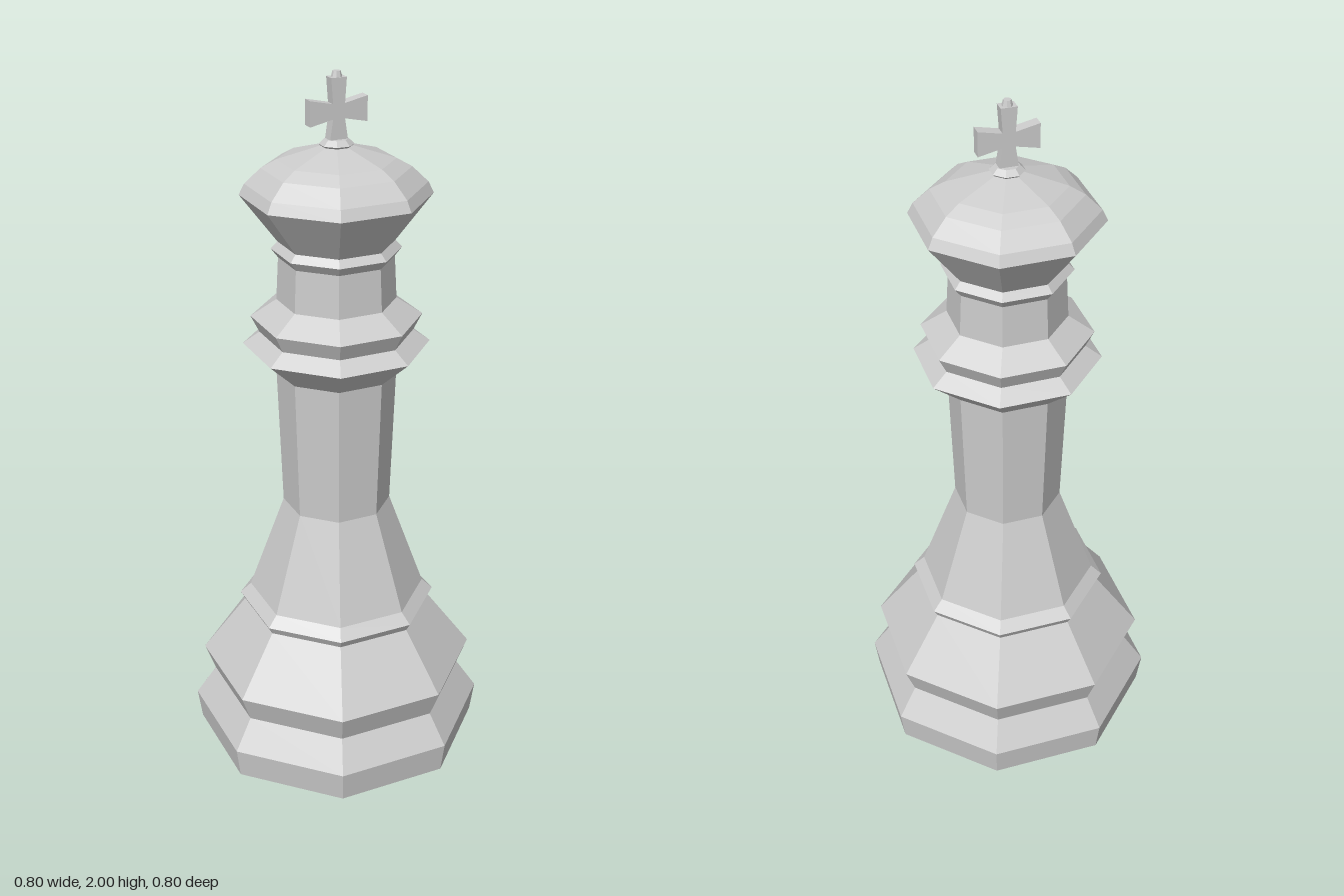
import * as THREE from 'three';

const TURN = THREE.MathUtils.degToRad(0.75); // slight twist of the whole piece
const FLAT = Math.cos(Math.PI / 8 - TURN); // half-width to corner radius of an octagon

const material = new THREE.MeshStandardMaterial({ color: 0xcccccc, flatShading: true, side: THREE.DoubleSide });

// Eight-sided turned part from [half-width, height] pairs, bottom to top
function turned(name, profile) {
  const points = profile.map(([w, y]) => new THREE.Vector2(w / FLAT, y));
  const mesh = new THREE.Mesh(new THREE.LatheGeometry(points, 8, Math.PI / 8 + TURN), material);
  mesh.name = name;
  return mesh;
}

// Cross with arms that flare towards their ends
function cross() {
  const y = 1.898;
  const outline = [
    [0.027, 1.815], [0.017, y - 0.02], [0.082, y - 0.034], [0.082, y + 0.034],
    [0.017, y + 0.02], [0.022, 1.985],
  ];
  const mirrored = outline.map(([px, py]) => [-px, py]).reverse();
  const shape = new THREE.Shape([...outline, ...mirrored].map(([px, py]) => new THREE.Vector2(px, py)));
  const geometry = new THREE.ExtrudeGeometry(shape, { depth: 0.032, bevelEnabled: false });
  geometry.translate(0, 0, -0.016);
  const mesh = new THREE.Mesh(geometry, material);
  mesh.name = 'cross';
  mesh.rotation.y = TURN;
  return mesh;
}

export function createModel() {
  const group = new THREE.Group();
  group.name = 'chessKing';
  group.add(
    turned('base', [
      [0, 0], [0.388, 0], [0.4, 0.09], [0.345, 0.177], [0.373, 0.257],
      [0.255, 0.424], [0.267, 0.447], [0.238, 0.477],
    ]),
    turned('stem', [[0.238, 0.477], [0.143, 0.762], [0.156, 1.17]]),
    turned('collar', [
      [0.156, 1.17], [0.241, 1.252], [0.198, 1.285], [0.22, 1.332], [0.153, 1.38],
    ]),
    turned('neck', [[0.153, 1.38], [0.147, 1.5], [0.165, 1.525], [0.148, 1.545]]),
    turned('crown', [
      [0.148, 1.545], [0.241, 1.675], [0.227, 1.705], [0.186, 1.747],
      [0.147, 1.77], [0.04, 1.805], [0, 1.805],
    ]),
    turned('finialRing', [[0.034, 1.8], [0.044, 1.81], [0.03, 1.824], [0, 1.824]]),
    cross(),
    turned('crossTip', [[0.014, 1.984], [0.01, 2], [0, 2]]),
  );
  return group;
}
